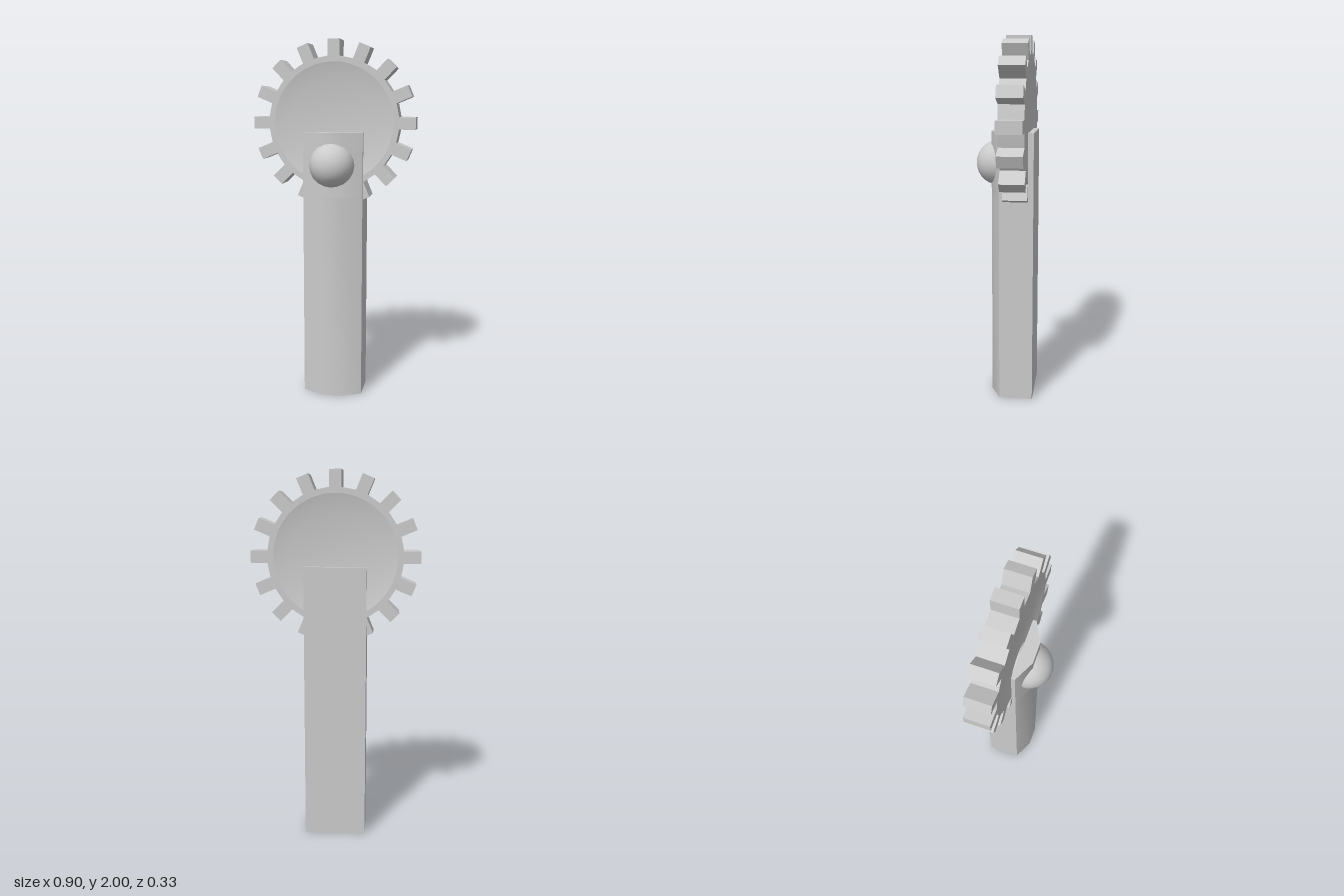
import * as THREE from 'three';
import { toCreasedNormals } from 'three/addons/utils/BufferGeometryUtils.js';

const material = new THREE.MeshStandardMaterial({ color: 0xcccccc });

function part(name, geometry, parent) {
  const mesh = new THREE.Mesh(geometry, material);
  mesh.name = name;
  parent.add(mesh);
  return mesh;
}

// Upright prism from a cross-section of [x, z] corners
function prism(corners, y0, y1) {
  const shape = new THREE.Shape(corners.map(([x, z]) => new THREE.Vector2(x, -z)));
  const geometry = new THREE.ExtrudeGeometry(shape, { depth: y1 - y0, bevelEnabled: false });
  geometry.rotateX(-Math.PI / 2).translate(0, y0, 0);
  return toCreasedNormals(geometry, 0.6);
}

export function createModel() {
  const model = new THREE.Group();
  model.name = 'gearOnHandle';

  // Handle: faceted front, flat back, slotted at the top to hold the gear
  const handle = new THREE.Group();
  handle.name = 'handle';
  model.add(handle);
  const w = 0.167, back = -0.165, slotBack = -0.135, slotBottom = 1.15, top = 1.5;
  const front = [[w, 0.02], [0.055, 0.075], [-0.055, 0.075], [-w, 0.02]];
  part('shaft', prism([[-w, back], [w, back], ...front], 0, slotBottom), handle);
  part('frontPlate', prism([[-w, 0], [w, 0], ...front], slotBottom, top), handle);
  part('backPlate', prism([[-w, back], [w, back], [w, slotBack], [-w, slotBack]], slotBottom, top), handle);

  // Gear: sixteen square teeth around a rim
  const gear = new THREE.Group();
  gear.name = 'gear';
  gear.position.set(0, 1.55, slotBack / 2);
  model.add(gear);
  const teeth = 16, rootRadius = 0.36, tipRadius = 0.45, halfTooth = 0.033, thickness = 0.135;
  const outline = [];
  for (let i = 0; i < teeth; i++) {
    const angle = (i / teeth) * Math.PI * 2;
    const corners = [[rootRadius, -halfTooth], [tipRadius, -halfTooth], [tipRadius, halfTooth], [rootRadius, halfTooth]];
    for (const [x, y] of corners) outline.push(new THREE.Vector2(x, y).rotateAround(new THREE.Vector2(), angle));
    const gap = angle + Math.PI / teeth;
    outline.push(new THREE.Vector2(Math.cos(gap), Math.sin(gap)).multiplyScalar(rootRadius));
  }
  const rim = new THREE.Shape(outline);
  const dishRadius = 0.33;
  rim.holes.push(new THREE.Path().absarc(0, 0, dishRadius, 0, Math.PI * 2, true));
  const rimGeometry = new THREE.ExtrudeGeometry(rim, { depth: thickness, bevelEnabled: false, curveSegments: 32 });
  rimGeometry.translate(0, 0, -thickness / 2);
  part('toothedRim', rimGeometry, gear);

  // Web: shallow dish on both faces
  const h = thickness / 2, floor = h - 0.02;
  const profile = [[0, -floor], [0.24, -floor], [dishRadius, -h], [dishRadius, h], [0.24, floor], [0, floor]]
    .map(([x, y]) => new THREE.Vector2(x, y));
  const web = new THREE.LatheGeometry(profile, 64).rotateX(Math.PI / 2);
  part('dishedWeb', toCreasedNormals(web, 0.4), gear);

  // Round knob half sunk into the front of the handle
  const knob = part('knob', new THREE.SphereGeometry(0.125, 20, 14).rotateX(Math.PI / 2), model);
  knob.position.set(0, 1.323, 0.04);

  return model;
}
